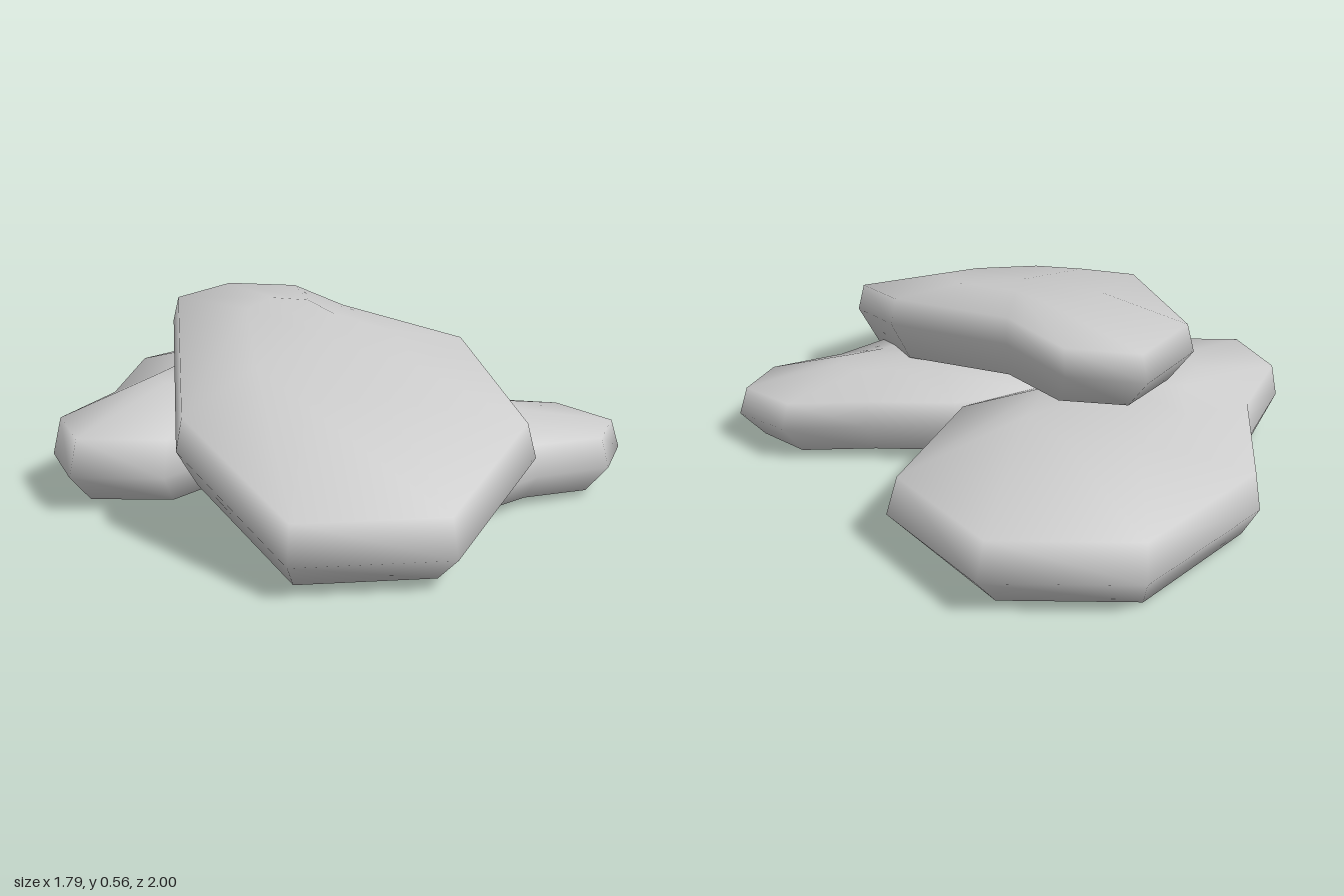
import * as THREE from 'three';

// Plan outlines [x, z] of the stone rims, clockwise seen from above.
// mid gives the rim height; rings are [scale towards centre, height offset, offset per z], bottom to top.
const STONES = [
  {
    name: 'topStone',
    outline: [[-0.33, -0.49], [-0.1, -0.42], [0.04, -0.14], [0.385, 0.17], [0.49, 0.66],
      [0.205, 1], [-0.24, 1], [-0.515, 0.58], [-0.515, -0.28]],
    mid: (x, z) => 0.43 - 0.15 * z - 0.18 * z * z,
    rings: [[0.5, -0.14, 0], [0.87, -0.123, -0.02], [1, 0, 0], [0.96, 0.085, 0.01], [0.48, 0.12, 0.03]],
    poles: [-0.15, 0.127],
  },
  {
    name: 'backStone',
    outline: [[-0.24, -1], [0.21, -0.94], [0.435, -0.56], [0.2, -0.12], [-0.12, 0.02], [-0.39, 0.18],
      [-0.555, 0.345], [-0.835, 0.305], [-0.9, 0.07], [-0.735, -0.21], [-0.64, -0.66]],
    mid: () => 0.12,
    rings: [[0.5, -0.085, 0.018], [0.89, -0.096, 0.018], [1, 0, 0], [0.955, 0.113, 0], [0.44, 0.198, 0]],
    poles: [-0.09, 0.208],
  },
  {
    name: 'sideStone',
    outline: [[-0.1, -0.1], [0.2, -0.12], [0.48, -0.05], [0.75, -0.01], [0.895, 0.16], [0.81, 0.33],
      [0.57, 0.4], [0.4, 0.52], [0.12, 0.61], [-0.17, 0.6], [-0.42, 0.37], [-0.36, 0.02]],
    mid: (x, z) => 0.155 - 0.04 * x - 0.08 * z,
    rings: [[0.5, -0.11, 0], [0.88, -0.095, 0.05], [1, 0, 0], [0.955, 0.085, 0.03], [0.48, 0.135, 0]],
    poles: [-0.115, 0.14],
  },
];

// Lofts shrinking copies of the outline into a closed, smooth pebble.
function stone({ name, outline, mid, rings, poles }) {
  const n = outline.length;
  const cx = outline.reduce((s, p) => s + p[0], 0) / n;
  const cz = outline.reduce((s, p) => s + p[1], 0) / n;
  const pos = [], index = [];
  for (const [scale, dy, tilt] of rings) {
    for (const [px, pz] of outline) {
      const x = cx + (px - cx) * scale, z = cz + (pz - cz) * scale;
      pos.push(x, mid(x, z) + dy + tilt * z, z);
    }
  }
  const bottom = rings.length * n, top = bottom + 1;
  for (const dy of poles) pos.push(cx, mid(cx, cz) + dy, cz);

  const last = (rings.length - 1) * n;
  for (let i = 0; i < n; i++) {
    const j = (i + 1) % n;
    for (let r = 0; r < last; r += n) {
      index.push(r + i, r + n + i, r + n + j, r + i, r + n + j, r + j);
    }
    index.push(bottom, i, j, top, last + j, last + i);
  }
  const geometry = new THREE.BufferGeometry();
  geometry.setAttribute('position', new THREE.Float32BufferAttribute(pos, 3));
  geometry.setIndex(index);
  geometry.computeVertexNormals();
  const mesh = new THREE.Mesh(geometry, new THREE.MeshStandardMaterial({ color: 0xcccccc }));
  mesh.name = name;
  return mesh;
}

export function createModel() {
  const group = new THREE.Group();
  group.name = 'stonePile';
  for (const s of STONES) group.add(stone(s));
  return group;
}
